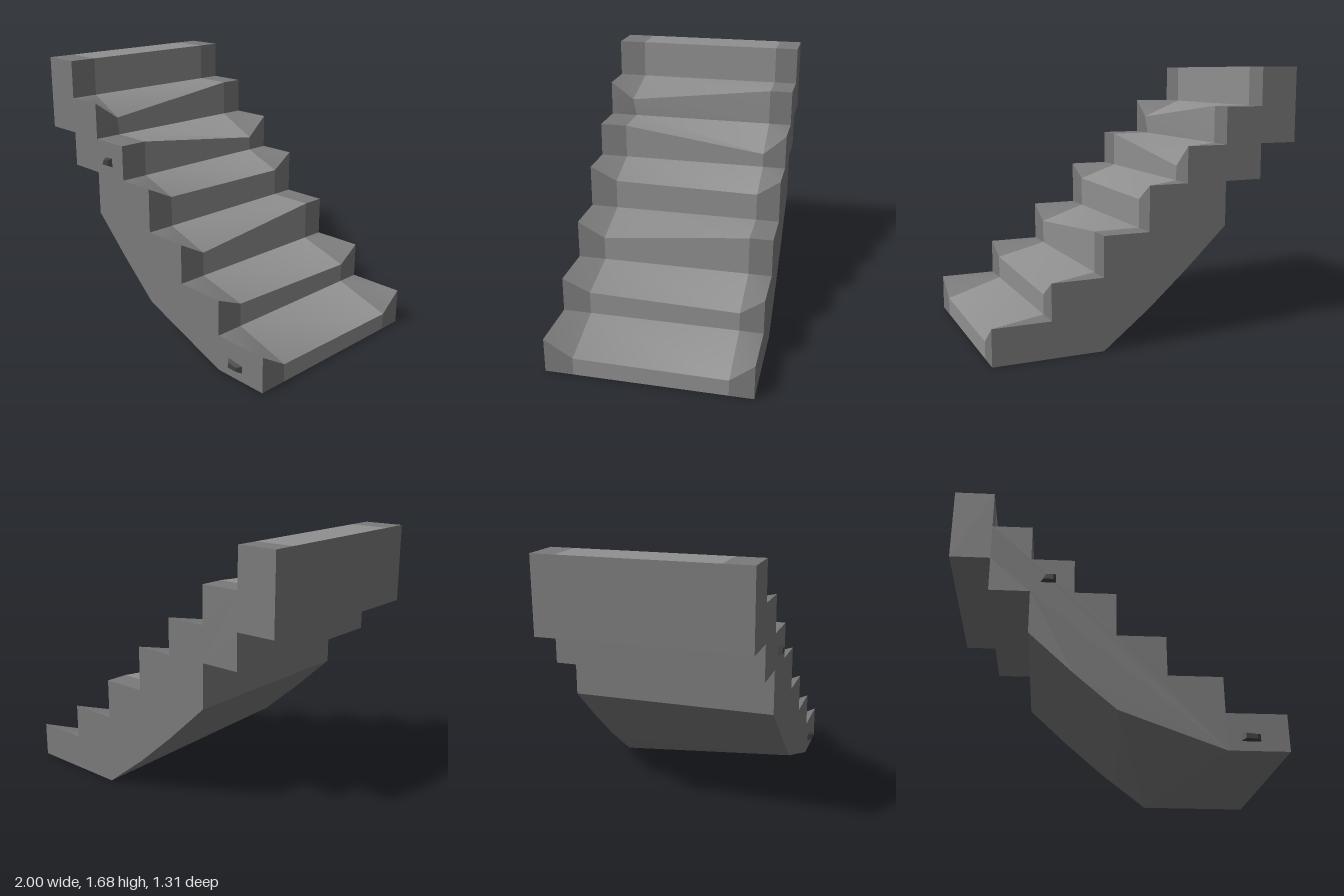
import * as THREE from 'three';
import { toCreasedNormals } from 'three/addons/utils/BufferGeometryUtils.js';

const stone = new THREE.MeshStandardMaterial({ color: 0x7a7a7a });
const wornStone = new THREE.MeshStandardMaterial({ color: 0x909090 });
const darkMetal = new THREE.MeshStandardMaterial({ color: 0x404040 });
const FRONT = 0.63, BACK = -0.655;

// Steps from top to bottom: inner x, outer x, height, worn outer-edge height near the front and near the back
const steps = [
  [-1, -0.75, 1.677, 1.677, 1.677],
  [-0.75, -0.5, 1.433, 1.32, 1.433],
  [-0.5, -0.233, 1.202, 1.202, 1.068],
  [-0.233, 0.022, 0.978, 0.89, 0.875],
  [0.022, 0.317, 0.698, 0.6, 0.698],
  [0.317, 0.643, 0.448, 0.37, 0.345],
  [0.643, 1, 0.224, 0.113, 0.105],
];

// Underside, running from the foot back up to the top; only the second point differs front to back
const underside = (secondX) => [
  [1, 0], [secondX, 0], [0.022, 0.228], [-0.233, 0.45], [-0.5, 0.7],
  [-0.5, 0.978], [-0.75, 0.978], [-0.75, 1.202], [-1, 1.202],
];

// Triangles of the quad a-b-c-d, counter-clockwise; flip splits along b-d instead of a-c
const quad = (a, b, c, d, flip = false) =>
  (flip ? [a, b, d, b, c, d] : [a, b, c, a, c, d]).flat();

// Quads joining two lines of points, the first one nearer the front
function strip(p, q, flip) {
  const out = [];
  for (let i = 0; i < p.length - 1; i++) out.push(...quad(p[i], p[i + 1], q[i + 1], q[i], flip));
  return out;
}

// Smooth across gentle bends, sharp elsewhere
function makeGeometry(positions, crease) {
  const g = new THREE.BufferGeometry();
  g.setAttribute('position', new THREE.Float32BufferAttribute(positions, 3));
  return toCreasedNormals(g, crease);
}

function makeMesh(name, geometry, material) {
  const m = new THREE.Mesh(geometry, material);
  m.name = name;
  return m;
}

// Stepped line at depth z; wear picks the outer height column (2 = unworn)
function stepLine(z, wear) {
  const line = [];
  steps.forEach((s, i) => {
    // one worn nosing bulges slightly
    const bulge = i === 1 && wear === 3 ? 0.01 : 0;
    line.push([s[0], s[2], z], [s[1] + bulge, s[wear], z + 2 * bulge]);
  });
  line.push([1, 0, z]);
  return line;
}

// Treads and risers: a pale worn middle between two darker edges, shaded as one surface
function makeTreads() {
  const lines = [stepLine(FRONT, 2), stepLine(0.45, 3), stepLine(-0.505, 4), stepLine(BACK, 2)];
  const strips = [0, 1, 2].map((k) => strip(lines[k], lines[k + 1], k === 0));
  const normals = makeGeometry(strips.flat(), 0.9).attributes.normal.array;
  const names = ['frontStepEdges', 'wornSteps', 'backStepEdges'];
  let start = 0;
  return strips.map((positions, k) => {
    const g = new THREE.BufferGeometry();
    g.setAttribute('position', new THREE.Float32BufferAttribute(positions, 3));
    g.setAttribute('normal', new THREE.Float32BufferAttribute(
      normals.slice(start, start + positions.length), 3));
    start += positions.length;
    return makeMesh(names[k], g, k === 1 ? wornStone : stone);
  });
}

// Underside and the upper end wall
function makeUnderside() {
  const top = [-1, steps[0][2]];
  const line = (secondX, z) => [...underside(secondX), top].map(([x, y]) => [x, y, z]);
  const positions = strip(line(0.643, FRONT), line(0.317, BACK), true);
  return makeMesh('underside', makeGeometry(positions, 0.1), stone);
}

// Flat side wall; the back one is drawn mirrored and turned round
function makeSide(name, z, secondX) {
  const isBack = z < 0;
  const outline = [];
  steps.forEach((s) => outline.push([s[0], s[2]], [s[1], s[2]]));
  outline.push(...underside(secondX));
  const g = new THREE.ShapeGeometry(new THREE.Shape(
    outline.map(([x, y]) => new THREE.Vector2(isBack ? -x : x, y))));
  if (isBack) g.rotateY(Math.PI);
  g.translate(0, 0, z);
  return makeMesh(name, g, stone);
}

// Small tapered stud on the front wall
function makeStud(name, base) {
  const cx = base.reduce((s, p) => s + p[0], 0) / 4;
  const cy = base.reduce((s, p) => s + p[1], 0) / 4;
  const low = base.map(([x, y]) => [x, y, FRONT]);
  const high = base.map(([x, y]) => [cx + (x - cx) * 0.6, cy + (y - cy) * 0.6, 0.655]);
  const positions = quad(...high);
  for (let i = 0; i < 4; i++) {
    const j = (i + 1) % 4;
    positions.push(...quad(low[i], low[j], high[j], high[i]));
  }
  return makeMesh(name, makeGeometry(positions, 0.1), darkMetal);
}

export function createModel() {
  const group = new THREE.Group();
  group.name = 'stoneStairs';
  group.add(
    ...makeTreads(),
    makeUnderside(),
    makeSide('frontWall', FRONT, 0.643),
    makeSide('backWall', BACK, 0.317),
    makeStud('upperStud', [[-0.44, 1.043], [-0.345, 1.043], [-0.345, 1.1], [-0.41, 1.097]]),
    makeStud('lowerStud', [[0.722, 0.057], [0.836, 0.057], [0.836, 0.1], [0.727, 0.112]]),
  );
  return group;
}
